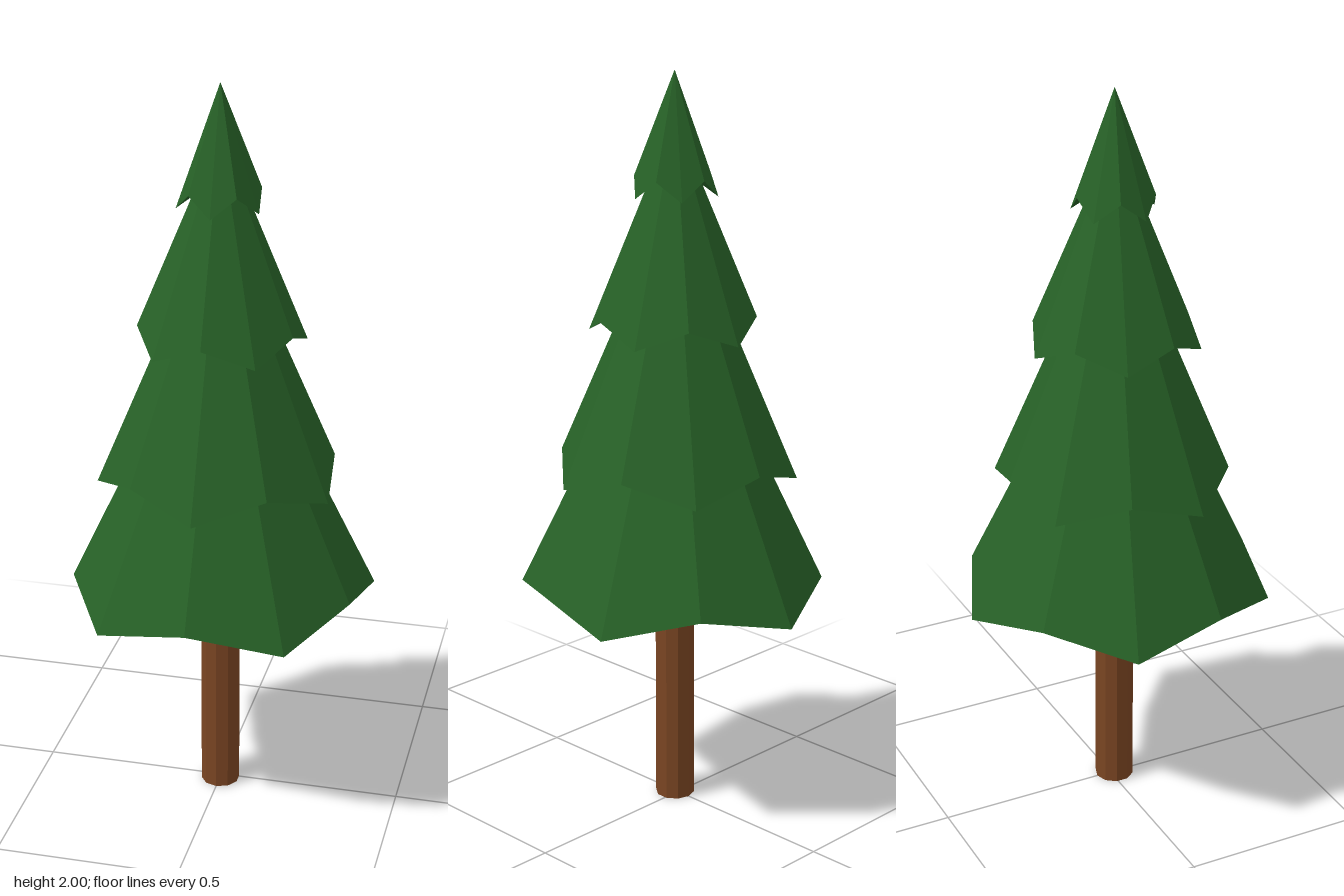
import * as THREE from 'three';

const SIDES = 10;
const AXIS_Z = 0.012;

// One closed foliage tier: a ten-sided cone with a zigzag rim and a hollowed underside.
// even / odd are [radius, height] of the alternating rim points, starting at the back.
function tierGeometry(even, odd, apexY, hubY) {
  const rim = (k) => {
    const [r, y] = k % 2 ? odd : even;
    const a = (k * Math.PI * 2) / SIDES;
    return [r * Math.sin(a), y, -r * Math.cos(a)];
  };
  const points = [];
  for (let k = 0; k < SIDES; k++) {
    const a = rim(k), b = rim((k + 1) % SIDES);
    points.push(...[0, apexY, 0], ...b, ...a); // outer face
    points.push(...[0, hubY, 0], ...a, ...b);  // underside face
  }
  const geometry = new THREE.BufferGeometry();
  geometry.setAttribute('position', new THREE.Float32BufferAttribute(points, 3));
  geometry.computeVertexNormals();
  return geometry;
}

export function createModel() {
  const model = new THREE.Group();
  model.name = 'pineTree';

  const needles = new THREE.MeshStandardMaterial({ color: 0x276127, flatShading: true });
  needles.name = 'needleGreen';
  const bark = new THREE.MeshStandardMaterial({ color: 0x7a4522, flatShading: true });
  bark.name = 'barkBrown';

  // Trunk, running up into the lowest tier
  const trunk = new THREE.Mesh(new THREE.CylinderGeometry(0.053, 0.053, 0.9, SIDES), bark);
  trunk.name = 'trunk';
  trunk.position.set(0, 0.45, AXIS_Z);
  model.add(trunk);

  // Foliage tiers from bottom to top; the drooping points alternate between tiers
  const tiers = [
    { name: 'bottomTier', even: [0.422, 0.605], odd: [0.397, 0.66], apex: 1.48, hub: 0.8 },
    { name: 'lowerMiddleTier', even: [0.305, 0.99], odd: [0.326, 0.935], apex: 1.7, hub: 1.1 },
    { name: 'upperMiddleTier', even: [0.227, 1.32], odd: [0.215, 1.37], apex: 1.88, hub: 1.44 },
    { name: 'topTier', even: [0.105, 1.73], odd: [0.113, 1.68], apex: 2, hub: 1.76 },
  ];
  for (const t of tiers) {
    const tier = new THREE.Mesh(tierGeometry(t.even, t.odd, t.apex, t.hub), needles);
    tier.name = t.name;
    tier.position.z = AXIS_Z;
    model.add(tier);
  }

  return model;
}
